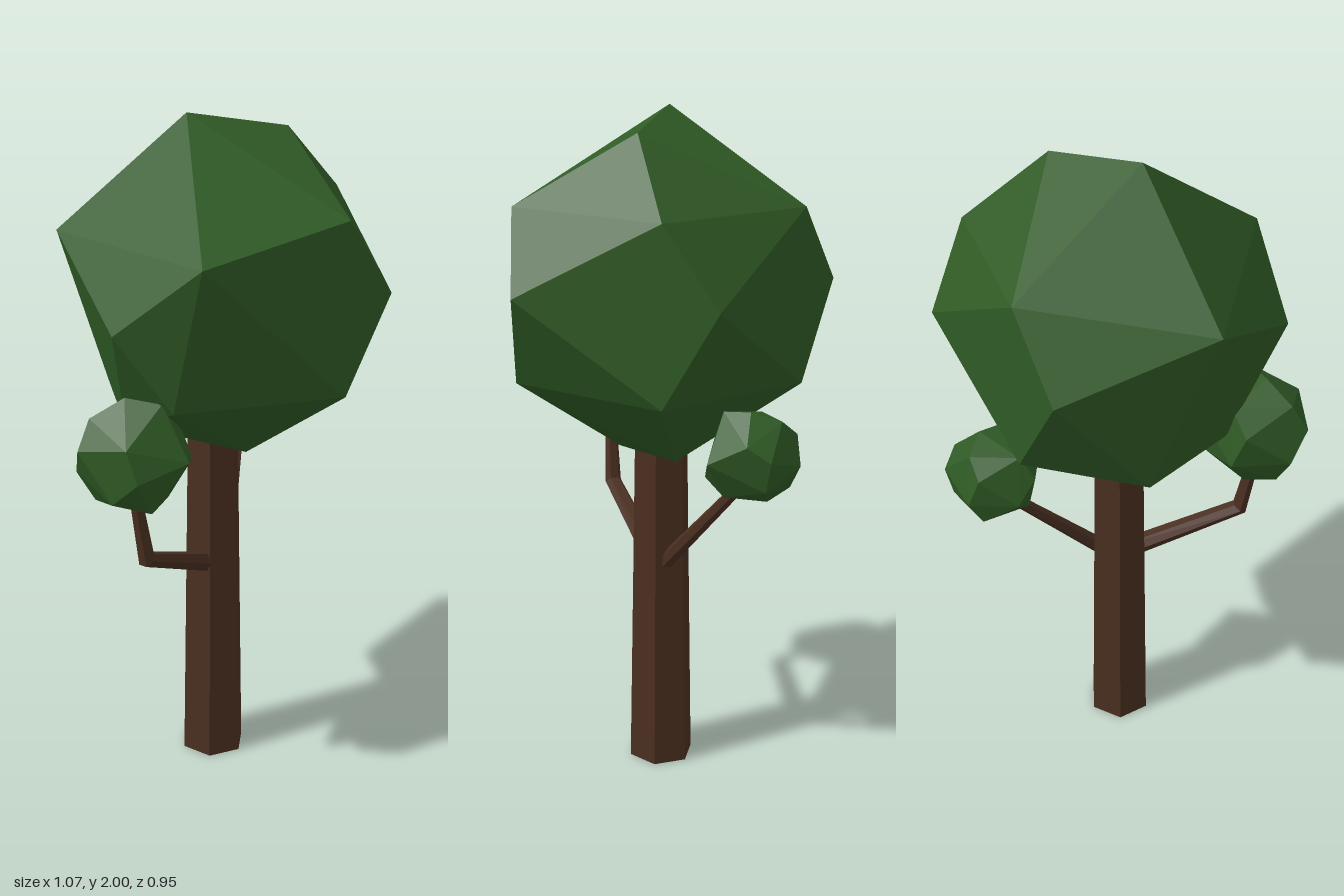
import * as THREE from 'three';
import { ConvexGeometry } from 'three/addons/geometries/ConvexGeometry.js';

const leafMat = new THREE.MeshStandardMaterial({ color: 0x2f5a25, flatShading: true });
const barkMat = new THREE.MeshStandardMaterial({ color: 0x4a2f20, flatShading: true });

// Corners of the faceted leaf mass, around its own centre
const CENTRE = new THREE.Vector3(0.05, 1.51, 0);
const CORNERS = [
  // top ridge and upper ring
  [-0.035, 2, -0.06], [0.21, 1.95, 0.115], [0.455, 1.745, 0.13], [0.05, 1.745, 0.427],
  [0.305, 1.745, -0.34], [-0.375, 1.665, 0.245], [-0.23, 1.665, -0.38],
  // middle
  [0.545, 1.52, 0], [0.205, 1.52, 0.473], [0.205, 1.52, -0.475], [-0.45, 1.465, 0],
  // lower ring
  [0.455, 1.245, 0.13], [0.05, 1.245, 0.427], [-0.354, 1.245, 0.13], [0.305, 1.245, -0.34],
  // underside
  [-0.05, 1.16, -0.345], [-0.28, 1.15, -0.1], [0.02, 1.02, 0.11], [0.28, 1.04, 0.03],
].map((p) => new THREE.Vector3(...p).sub(CENTRE));

function foliage(name, position, scale, turn = [0, 0, 0]) {
  const mesh = new THREE.Mesh(new ConvexGeometry(CORNERS), leafMat);
  mesh.name = name;
  mesh.position.set(...position);
  mesh.scale.setScalar(scale);
  mesh.rotation.set(...turn);
  return mesh;
}

// Tapered limb: rings of a cylinder moved onto the path points, mitred at bends
function limb(name, path, radii, sides) {
  const pts = path.map((p) => new THREE.Vector3(...p));
  const last = pts.length - 1;
  const up = new THREE.Vector3(0, 1, 0);
  const geo = new THREE.CylinderGeometry(1, 1, last, sides, last);
  const frames = pts.map((p, i) => {
    const dir = new THREE.Vector3();
    if (i > 0) dir.add(p.clone().sub(pts[i - 1]).normalize());
    if (i < last) dir.add(pts[i + 1].clone().sub(p).normalize());
    return new THREE.Quaternion().setFromUnitVectors(up, dir.normalize());
  });
  const pos = geo.attributes.position;
  const v = new THREE.Vector3();
  for (let k = 0; k < pos.count; k++) {
    v.fromBufferAttribute(pos, k);
    const i = Math.round(v.y + last / 2);
    v.y = 0;
    v.multiplyScalar(radii[i]).applyQuaternion(frames[i]).add(pts[i]);
    pos.setXYZ(k, v.x, v.y, v.z);
  }
  geo.computeVertexNormals();
  const mesh = new THREE.Mesh(geo, barkMat);
  mesh.name = name;
  return mesh;
}

export function createModel() {
  const tree = new THREE.Group();
  tree.name = 'tree';

  // Hexagonal trunk and two branches
  tree.add(
    limb('trunk', [[0.027, 0, -0.015], [0.027, 1.15, -0.015]], [0.1, 0.08], 6),
    limb('rightBranch', [[0.02, 0.636, 0], [-0.345, 0.785, 0.022], [-0.395, 1.05, 0.015]],
      [0.032, 0.026, 0.016], 6),
    limb('leftBranch', [[0.05, 0.62, 0.01], [0.37, 1, -0.155]], [0.026, 0.016], 6),
  );

  // Large crown and a small leaf cluster at each branch tip
  tree.add(
    foliage('crown', CENTRE.toArray(), 1),
    foliage('rightLeafCluster', [-0.372, 1.115, 0.012], 0.35, [0.3, 2.6, 0]),
    foliage('leftLeafCluster', [0.388, 1.078, -0.155], 0.285, [0.2, 1.3, 0.2]),
  );
  return tree;
}
